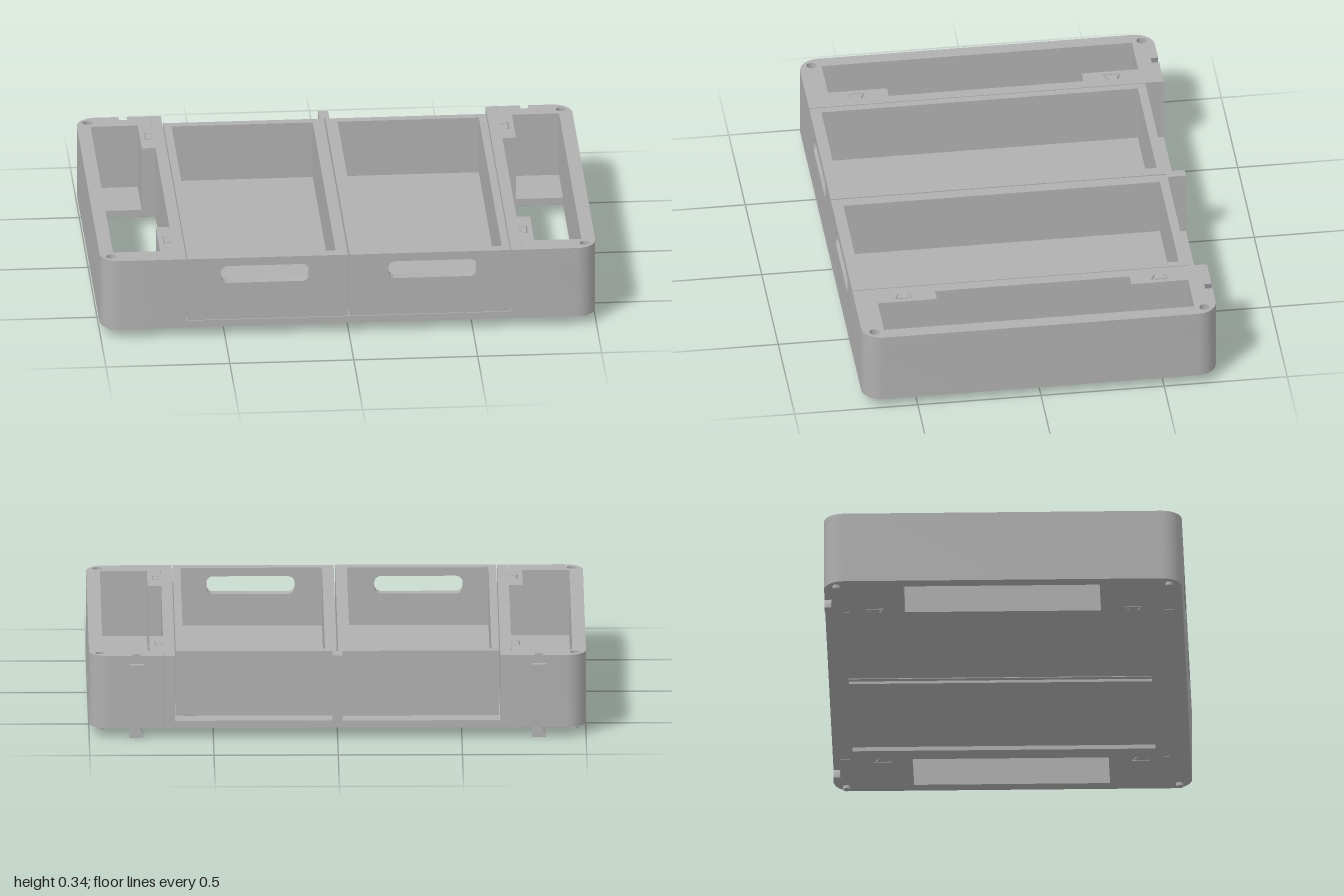
import * as THREE from 'three';
import { toCreasedNormals } from 'three/addons/utils/BufferGeometryUtils.js';

const BOTTOM = 0.04, LEDGE = 0.07, TOP = 0.34, END = 0.72;

export function createModel() {
  const root = new THREE.Group();
  root.name = 'trayOrganizer';
  const grey = new THREE.MeshStandardMaterial({ color: 0xb0b0b0 });
  grey.name = 'grey';

  const add = (parent, name, geometry) => {
    const mesh = new THREE.Mesh(geometry, grey);
    mesh.name = name;
    parent.add(mesh);
    return mesh;
  };
  const group = (name) => {
    const g = new THREE.Group();
    g.name = name;
    root.add(g);
    return g;
  };
  const box = (parent, name, x0, x1, y0, y1, z0, z1) => {
    const mesh = add(parent, name, new THREE.BoxGeometry(Math.abs(x1 - x0), y1 - y0, z1 - z0));
    mesh.position.set((x0 + x1) / 2, (y0 + y1) / 2, (z0 + z1) / 2);
    return mesh;
  };
  const extrude = (shape, depth) => toCreasedNormals(
    new THREE.ExtrudeGeometry(shape, { depth, bevelEnabled: false, curveSegments: 12 }), 0.6);

  // Plan outline of [x, z] points raised from y0 to y1, mirrored by s
  const toVectors = (points, s) => points.map(([x, z]) => new THREE.Vector2(x * s, -z));
  const slab = (parent, name, points, s, y0, y1, holes = []) => {
    const shape = new THREE.Shape(toVectors(points, s));
    for (const h of holes) shape.holes.push(new THREE.Path(toVectors(h, s)));
    const geometry = extrude(shape, y1 - y0);
    geometry.rotateX(-Math.PI / 2);
    geometry.translate(0, y0, 0);
    return add(parent, name, geometry);
  };
  const rect = (x0, x1, z0, z1) => [[x0, z0], [x1, z0], [x1, z1], [x0, z1]];
  const arc = (cx, cz, r, a0, a1, n) => Array.from({ length: n + 1 }, (_, i) => {
    const a = a0 + (a1 - a0) * i / n;
    return [cx + r * Math.cos(a), cz + r * Math.sin(a)];
  });
  // Dovetail flaring outward from the joint at x = 0.70
  const dovetail = (z, grow) => [
    [0.70, z - 0.016 - grow], [0.73 + grow, z - 0.031 - grow],
    [0.73 + grow, z + 0.031 + grow], [0.70, z + 0.016 + grow]];

  // Side frames
  const r = 0.08, socketX = 0.81, backSocket = [
    [socketX + 0.03, -END], [socketX + 0.03, -0.69],
    [socketX - 0.03, -0.69], [socketX - 0.03, -END]];
  const outline = (inner, socket) => [
    [0.70, END],
    ...arc(1 - r, END - r, r, Math.PI / 2, 0, 10),
    ...arc(1 - r, -END + r, r, 0, -Math.PI / 2, 10),
    ...(socket ? backSocket : []),
    [0.70, -END],
    ...dovetail(-0.52, 0.005),
    ...inner,
    ...dovetail(0.52, 0.005)];
  const floorEdge = [[0.70, -0.4], [0.945, -0.4], [0.945, 0.39], [0.70, 0.39]];
  const wallEdge = [[0.70, -0.4], [0.755, -0.4], [0.755, -0.63], [0.945, -0.63],
    [0.945, 0.63], [0.755, 0.63], [0.755, 0.39], [0.70, 0.39]];

  for (const s of [1, -1]) {
    const side = group(s > 0 ? 'leftSideFrame' : 'rightSideFrame');
    slab(side, 'pocketFloor', outline(floorEdge, false), s, BOTTOM, LEDGE);
    slab(side, 'sideWall', outline(wallEdge, false), s, LEDGE, 0.3);
    const pegHoles = [0.67, -0.67].map((z) => arc(0.955, z, 0.02, 0, Math.PI * 2 * 15 / 16, 15));
    slab(side, 'sideRim', outline(wallEdge, true), s, 0.3, TOP, pegHoles);

    // Wedges narrow the socket towards the top
    for (const e of [1, -1]) {
      const wedge = new THREE.Shape([[0.03, 0.3], [0.03, TOP], [0.016, TOP]]
        .map(([x, y]) => new THREE.Vector2(s * socketX + e * x, y)));
      add(side, 'socketCheek', extrude(wedge, 0.03)).position.z = -END;
    }
    // Locking key under the back edge
    const key = new THREE.Shape([[-0.015, BOTTOM], [-0.028, 0.015], [-0.028, 0], [0.028, 0],
      [0.028, 0.015], [0.015, BOTTOM]].map(([x, y]) => new THREE.Vector2(s * socketX + x, y)));
    add(side, 'lockingKey', extrude(key, 0.027)).position.z = -END;

    // Stacking pegs
    for (const z of [0.67, -0.67]) {
      add(side, 'stackingPeg', new THREE.CylinderGeometry(0.015, 0.015, 0.02, 20))
        .position.set(s * 0.955, 0.036, z);
    }
  }

  // Centre frame: open base, side rails with dovetail tenons, rear divider
  const frame = group('centreFrame');
  slab(frame, 'baseFrame', rect(-0.655, 0.655, -END, END), 1, BOTTOM, LEDGE,
    [rect(0.02, 0.62, -0.64, 0.58), rect(-0.62, -0.02, -0.64, 0.58)]);
  for (const s of [1, -1]) {
    slab(frame, 'sideRail', [[0.655, END], [0.655, -END], [0.699, -END],
      ...dovetail(-0.52, 0), ...dovetail(0.52, 0), [0.699, END]], s, BOTTOM, TOP);
  }
  box(frame, 'rearDivider', -0.02, 0.02, LEDGE, TOP, -END, -0.645);

  // Drawers
  for (const s of [1, -1]) {
    const drawer = group(s > 0 ? 'leftDrawer' : 'rightDrawer');
    slab(drawer, 'drawerWalls', [[0.003, 0.675], [0.003, -0.645], [0.651, -0.645], [0.651, 0.675],
      [0.62, 0.675], [0.62, -0.61], [0.05, -0.61], [0.05, 0.675]], s, 0.072, TOP);
    box(drawer, 'drawerFloor', s * 0.05, s * 0.62, 0.072, 0.1, -0.61, 0.675);

    // Front panel with a rounded grip slot
    const panel = new THREE.Shape([[0.003, 0.072], [0.651, 0.072], [0.651, TOP], [0.003, TOP]]
      .map(([x, y]) => new THREE.Vector2(s * x, y)));
    const slot = new THREE.Path();
    const cx = s * 0.338, cy = 0.268, hw = 0.178, hh = 0.037, c = 0.028;
    slot.absarc(cx + hw - c, cy + hh - c, c, 0, Math.PI / 2);
    slot.absarc(cx - hw + c, cy + hh - c, c, Math.PI / 2, Math.PI);
    slot.absarc(cx - hw + c, cy - hh + c, c, Math.PI, Math.PI * 1.5);
    slot.absarc(cx + hw - c, cy - hh + c, c, Math.PI * 1.5, Math.PI * 2);
    panel.holes.push(slot);
    add(drawer, 'drawerFront', extrude(panel, 0.045)).position.z = 0.675;
  }
  return root;
}
